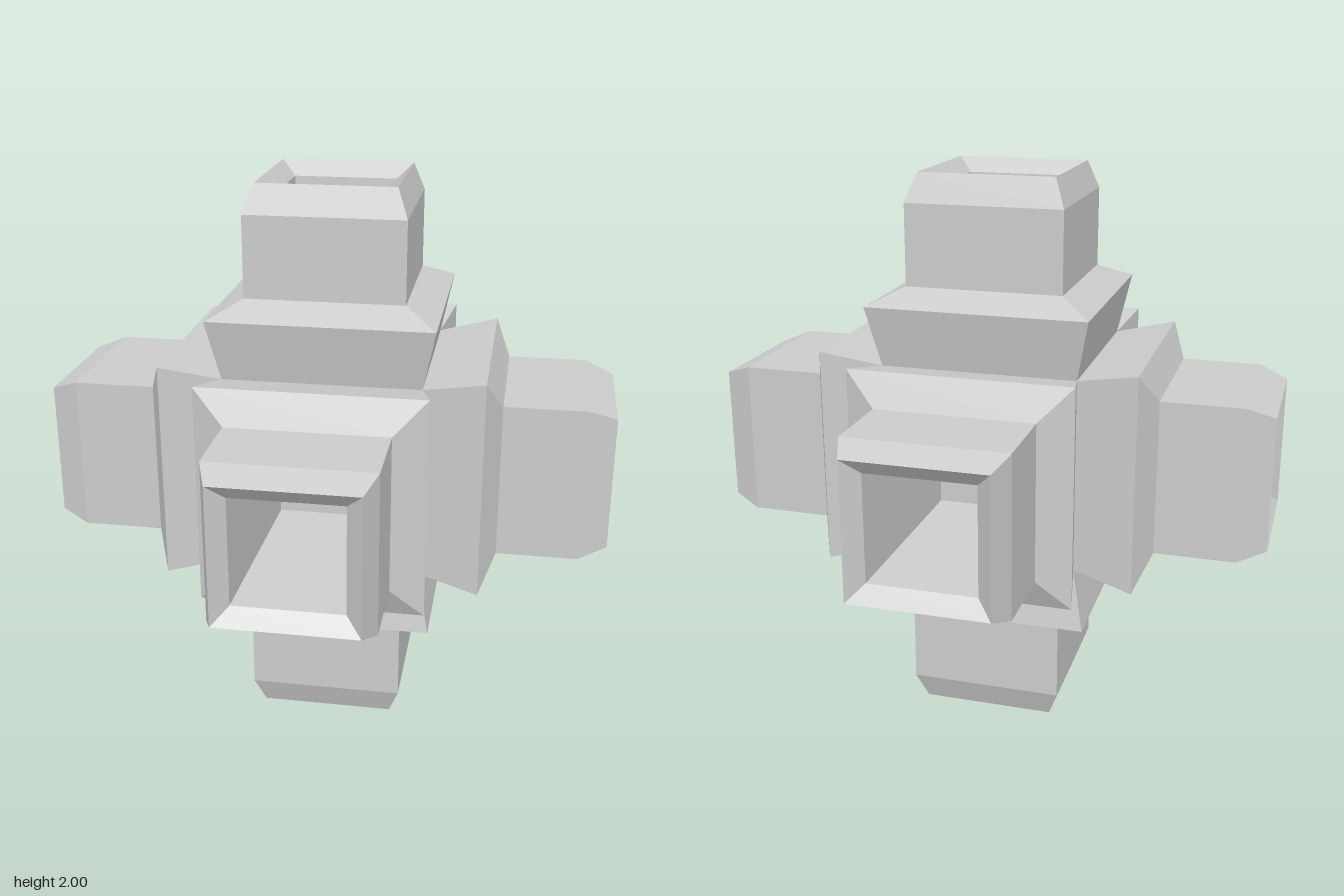
import * as THREE from 'three';

export function createModel() {
  const model = new THREE.Group();
  model.name = 'sixWayConnector';
  const material = new THREE.MeshStandardMaterial({ color: 0xcccccc, flatShading: true });

  // Square tube from a profile of [half width, distance from the centre]
  const squareTube = (profile) => {
    const points = profile.map(([half, d]) => new THREE.Vector2(half * Math.SQRT2, d));
    const geometry = new THREE.LatheGeometry(points, 4, Math.PI / 4).toNonIndexed();
    geometry.computeVertexNormals();
    return geometry;
  };

  // Flared collar that meets its neighbours along the diagonals
  const collar = squareTube([[0.346, 0.346], [0.39, 0.56], [0.277, 0.615]]);
  // Straight spout with a chamfered end
  const spout = squareTube([[0.277, 0.615], [0.277, 0.9], [0.24, 1]]);
  // Bevelled mouth and tapering socket with a flat floor
  const socket = squareTube([[0.24, 1], [0.185, 0.95], [0.155, 0.3], [0, 0.3]]);

  // One arm along each axis direction
  const arms = {
    top: [0, 0, 0],
    bottom: [Math.PI, 0, 0],
    front: [Math.PI / 2, 0, 0],
    back: [-Math.PI / 2, 0, 0],
    left: [0, 0, -Math.PI / 2],
    right: [0, 0, Math.PI / 2],
  };
  for (const [side, rotation] of Object.entries(arms)) {
    const arm = new THREE.Group();
    arm.name = side + 'Arm';
    for (const [name, geometry] of Object.entries({ collar, spout, socket })) {
      const mesh = new THREE.Mesh(geometry, material);
      mesh.name = name;
      arm.add(mesh);
    }
    arm.rotation.set(...rotation);
    arm.position.y = 1;
    model.add(arm);
  }
  return model;
}
